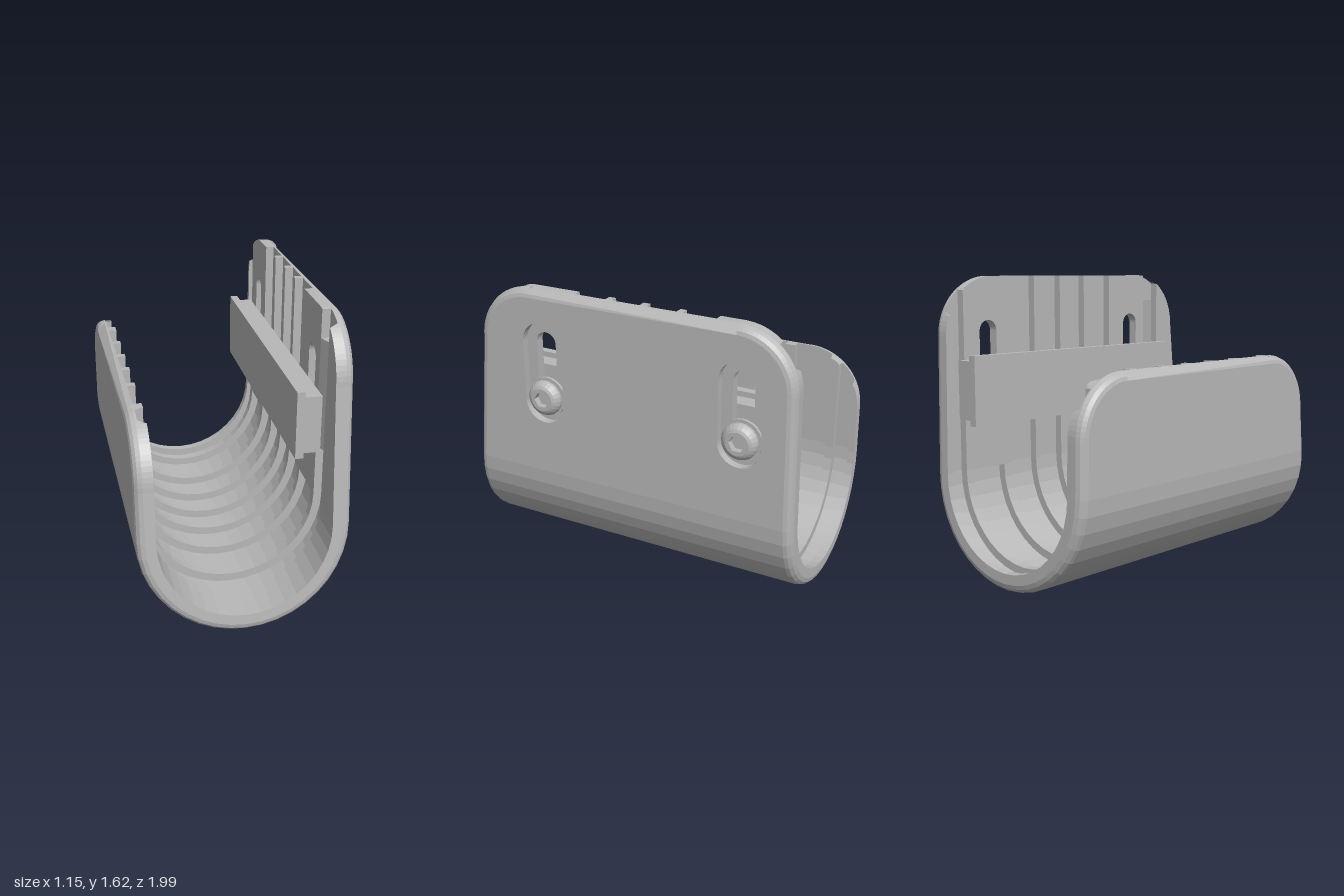
import * as THREE from 'three';

const CX = -0.015, CY = 0.56;              // centre of the U bend
const RO = 0.56, RR = 0.46, RG = 0.505;    // outer skin, rib crest, groove floor
const RC = 0.32;                           // corner radius of the side walls
const BEVEL = [[0.045, 0], [0.025, 0.006], [0.008, 0.022], [0, 0.045]]; // inset, drop
const zFront = y => 1 - 0.098 * y;
const zBack = y => -1 + 0.017 * y;

// Grooves between ribs, front to back
const GROOVES = [[0.73, 0.6], [0.55, 0.32], [0.28, 0.1], [0.06, -0.1], [-0.14, -0.31],
  [-0.345, -0.53], [-0.59, -0.81], [-0.86, -0.95]];
const SLOT_GROOVES = GROOVES.filter((g, i) => i !== 1 && i !== 6);

// Stations along the U: bend or straight wall, and rounded wall corner
const bend = (th, lift = 0) => ({ th, lift });
const corner = (side, yc, deg) => ({ side, yc, a: deg * Math.PI / 180 });

// Point on the front (end = 1) or back (end = -1) border, moved inwards by inset
function border(st, r, end, inset) {
  if (st.a !== undefined) {
    const zc = end > 0 ? zFront(st.yc) - RC : zBack(st.yc) + RC, d = RC - inset;
    return [CX + st.side * r, st.yc + d * Math.sin(st.a), zc + end * d * Math.cos(st.a)];
  }
  const y = CY - Math.sin(st.th) * r + st.lift;
  return [CX - Math.cos(st.th) * r, y, (end > 0 ? zFront(y) : zBack(y)) - end * inset];
}

// Closed cross-section: bevelled outside, ribbed inside. p = 3D, q = flat (z, r)
function section(st, grooves, lo, hi) {
  const p = [], q = [];
  const add = (v, r, shift = 0) => { p.push(v); q.push(new THREE.Vector2(v[2] + shift, r)); };
  const at = (r, z) => { const v = border(st, r, 1, 0); add([v[0], v[1], z], r); };
  const zf = hi ?? border(st, RR, 1, 0)[2], zb = lo ?? border(st, RR, -1, 0)[2];
  const depth = z => grooves.some(g => z < g[0] && z > g[1]) ? RG : RR;
  const inner = (z, r) => z >= zf ? at(depth(zf), zf) : z <= zb ? at(depth(zb), zb) : at(r, z);
  const flat = st.a !== undefined ? 1 : 0;

  if (hi === undefined) {
    for (const [i, d] of BEVEL) add(border(st, RO - d, 1, i), RO - d, -i * flat);
  } else at(RO, hi);
  inner(zf, RR);
  for (const [a, b] of grooves) {
    inner(a, RR); inner(a, RG); inner(b, RG); inner(b, RR);
  }
  inner(zb, RR);
  if (lo === undefined) {
    for (const [i, d] of [...BEVEL].reverse()) add(border(st, RO - d, -1, i), RO - d, i * flat);
  } else at(RO, lo);
  return { p, q };
}

// Joins the cross-sections and caps both ends
function sweep(stations, grooves, lo, hi) {
  const secs = stations.map(s => section(s, grooves, lo, hi));
  const n = secs[0].p.length, index = [];
  for (let k = 0; k < secs.length - 1; k++) {
    for (let j = 0; j < n; j++) {
      const m = (j + 1) % n;
      const a = k * n + j, b = a + n, c = (k + 1) * n + m, d = k * n + m;
      index.push(a, b, c, a, c, d);
    }
  }
  for (const [k, sign] of [[0, -1], [secs.length - 1, 1]]) {
    const q = secs[k].q;
    for (const [a, b, c] of THREE.ShapeUtils.triangulateShape(q, [])) {
      const area = THREE.ShapeUtils.area([q[a], q[b], q[c]]);
      const o = k * n;
      if (area * sign > 0) index.push(o + a, o + b, o + c);
      else index.push(o + a, o + c, o + b);
    }
  }
  const geo = new THREE.BufferGeometry();
  geo.setAttribute('position', new THREE.Float32BufferAttribute(secs.flatMap(s => s.p.flat()), 3));
  geo.setIndex(index);
  const out = geo.toNonIndexed();
  out.computeVertexNormals();
  return out;
}

// Upright rounded slot outline
function stadium(path, w, y0, y1) {
  path.absarc(0, y1 - w, w, 0, Math.PI, false);
  path.absarc(0, y0 + w, w, Math.PI, 2 * Math.PI, false);
  path.closePath();
  return path;
}

// Extrudes a (z, y) outline from x0 to x1
function extrudeX(shape, x0, x1) {
  return new THREE.ExtrudeGeometry(shape, { depth: x1 - x0, bevelEnabled: false, curveSegments: 12 })
    .rotateY(Math.PI / 2).translate(x0, 0, 0);
}

const range = (a, b, step) => {
  const n = Math.round(Math.abs(b - a) / step);
  return Array.from({ length: n + 1 }, (_, i) => a + (b - a) * i / n);
};

export function createModel() {
  const model = new THREE.Group();
  const grey = new THREE.MeshStandardMaterial({ color: 0xb8b8b8, flatShading: true });
  grey.name = 'grey';
  const add = (name, geo, parent = model) => {
    const m = new THREE.Mesh(geo, grey);
    m.name = name;
    parent.add(m);
    return m;
  };

  // Short left wall and U-shaped bottom
  add('leftWallAndBend', sweep([
    ...range(90, 0, 5).map(d => corner(-1, 0.84, d)),
    ...range(0, 180, 9).map(d => bend(d * Math.PI / 180)),
  ], GROOVES));

  // Tall right wall, leaving two openings for the slot plates
  const yc = 1.30, y0 = 0.85, y1 = 1.46, half = 0.13, slots = [0.47, -0.69];
  const foot = bend(Math.PI, y0 - CY);
  const middle = [foot, ...range(0, 30, 5).map(d => corner(1, yc, d))];
  add('rightWallLower', sweep([bend(Math.PI), foot], SLOT_GROOVES));
  add('rightWallFront', sweep(middle, SLOT_GROOVES, slots[0] + half, undefined));
  add('rightWallMiddle', sweep(middle, SLOT_GROOVES, slots[1] + half, slots[0] - half));
  add('rightWallBack', sweep(middle, SLOT_GROOVES, undefined, slots[1] - half));
  add('rightWallTop', sweep(range(30, 90, 5).map(d => corner(1, yc, d)), SLOT_GROOVES));

  const plate = (w, a, b) => {
    const s = new THREE.Shape([[-half, y0], [half, y0], [half, y1], [-half, y1]]
      .map(v => new THREE.Vector2(...v)));
    s.holes.push(stadium(new THREE.Path(), w, a, b));
    return s;
  };

  // Stepped slots with button-head screws
  for (const z of slots) {
    const slot = new THREE.Group();
    slot.name = 'adjustmentSlot';
    slot.position.z = z;
    model.add(slot);
    add('slotRecess', extrudeX(plate(0.12, 0.865, 1.445), 0.50, CX + RO), slot);
    add('slotOpening', extrudeX(plate(0.06, 0.93, 1.38), CX + RR, 0.50), slot);

    const screw = new THREE.Group();
    screw.name = 'screw';
    screw.position.y = 1.01;
    slot.add(screw);
    const turned = (r, x0, x1) => new THREE.CylinderGeometry(r, r, x1 - x0, 24)
      .rotateZ(-Math.PI / 2).translate((x0 + x1) / 2, 0, 0);
    add('screwShaft', turned(0.05, 0.40, 0.51), screw);
    add('washer', turned(0.113, 0.50, 0.515), screw);
    add('socketFloor', turned(0.06, 0.515, 0.54), screw);
    const dome = [[0.09, 0.515], [0.1, 0.525], [0.1, 0.54], [0.092, 0.556], [0.08, 0.568], [0.065, 0.575]];
    add('screwDome', new THREE.LatheGeometry(dome.map(v => new THREE.Vector2(...v)), 24)
      .rotateZ(-Math.PI / 2), screw);
    const face = new THREE.Shape().absarc(0, 0, 0.065, 0, 2 * Math.PI, false);
    face.holes.push(new THREE.Path(range(0, 5, 1).map(i =>
      new THREE.Vector2(0.045 * Math.cos(i * Math.PI / 3), 0.045 * Math.sin(i * Math.PI / 3)))));
    add('hexSocket', extrudeX(face, 0.54, 0.575), screw);
  }

  // T-shaped clamping bar inside the right wall
  const bar = (name, xa, xb, ya, yb) => add(name, new THREE.BoxGeometry(xb - xa, yb - ya, 1.575))
    .position.set((xa + xb) / 2, (ya + yb) / 2, -0.1125);
  bar('clampBarFace', 0.31, 0.355, 0.82, 1.20);
  bar('clampBarStem', 0.355, 0.445, 0.85, 1.17);

  return model;
}
